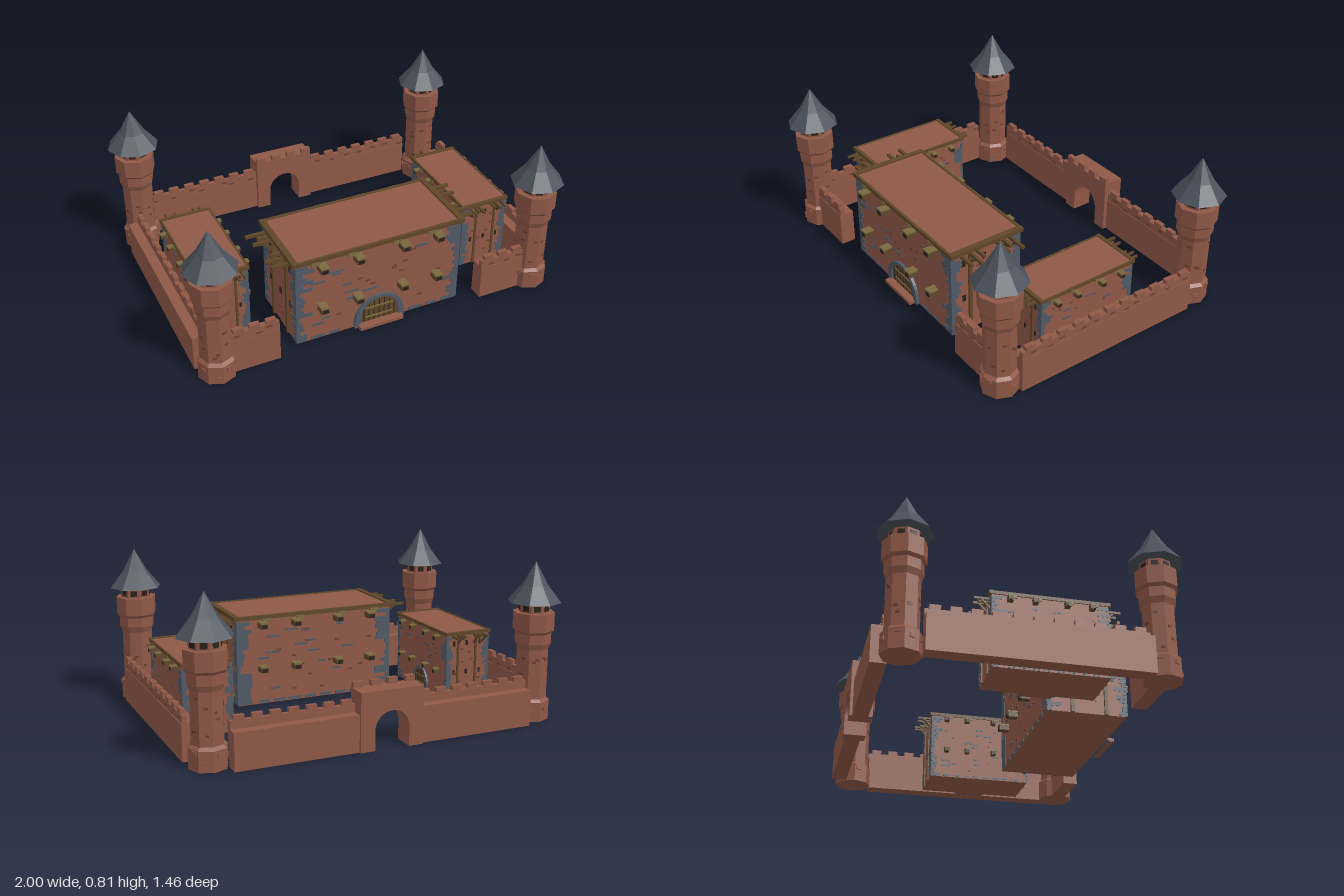
import * as THREE from 'three';

const mat = (name, color) => Object.assign(new THREE.MeshStandardMaterial({ color }), { name });
const M = {
  brick: mat('red brick', 0x8f5847),
  darkBrick: mat('dark brick', 0x70402f),
  slate: mat('roof slate', 0x4b525c),
  stone: mat('grey stone', 0x4f5965),
  wood: mat('brown wood', 0x5f4629),
  paleWood: mat('pale wood', 0x7a693f),
  dark: mat('dark opening', 0x2a2019),
};

let seed = 7;
const rnd = (a = 0, b = 1) => {
  seed = (seed * 16807) % 2147483647;
  return a + (b - a) * (seed / 2147483647);
};

function add(parent, name, geo, material, x = 0, y = 0, z = 0) {
  const m = new THREE.Mesh(geo, material);
  m.name = name;
  m.position.set(x, y, z);
  parent.add(m);
  return m;
}
const box = (parent, name, material, w, h, d, x, y, z) =>
  add(parent, name, new THREE.BoxGeometry(w, h, d), material, x, y, z);

function group(parent, name) {
  const g = new THREE.Group();
  g.name = name;
  parent.add(g);
  return g;
}

// Faceted eight-sided turned body
function octagon(points) {
  const lathe = new THREE.LatheGeometry(points.map(p => new THREE.Vector2(...p)), 8);
  const geo = lathe.toNonIndexed();
  geo.computeVertexNormals();
  return geo;
}

// Round-topped outline standing on y = 0
function archPath(path, r, spring) {
  path.moveTo(-r, 0);
  path.lineTo(r, 0);
  path.lineTo(r, spring);
  path.absarc(0, spring, r, 0, Math.PI, false);
  path.lineTo(-r, 0);
  return path;
}
const extrude = (shape, depth) =>
  new THREE.ExtrudeGeometry(shape, { depth, bevelEnabled: false, curveSegments: 8 });

function makeTower(parent, x, z) {
  const t = group(parent, 'tower');
  t.position.set(x, 0, z);
  add(t, 'towerBody', octagon([[0, 0], [0.095, 0], [0.095, 0.1], [0.08, 0.115], [0.08, 0.37],
    [0.092, 0.4], [0.092, 0.45], [0.105, 0.465], [0.105, 0.557], [0.078, 0.557], [0.078, 0.61]]), M.brick);
  add(t, 'towerRoof', octagon([[0, 0.6], [0.135, 0.608], [0.067, 0.692], [0, 0.81]]), M.slate);
  // Neck windows, bands and loose bricks on each of the eight faces
  for (let i = 0; i < 8; i++) {
    const face = group(t, 'towerFace');
    face.rotation.y = (i + 0.5) * Math.PI / 4;
    const k = Math.cos(Math.PI / 8);
    box(face, 'towerWindow', M.dark, 0.034, 0.028, 0.006, 0, 0.58, 0.078 * k);
    for (let j = 0; j < 2; j++) {
      box(face, 'looseBrick', M.darkBrick, rnd(0.015, 0.025), 0.012, 0.006, rnd(-0.015, 0.015), rnd(0.14, 0.34), 0.08 * k);
    }
    box(face, 'baseBrick', M.brick, rnd(0.02, 0.035), 0.02, 0.012, rnd(-0.015, 0.015), rnd(0.03, 0.09), 0.095 * k);
  }
}

// Wall running along x, parapet on its +z side
function makeWall(parent, length, x, z, turn = 0) {
  const w = group(parent, 'curtainWall');
  w.position.set(x, 0, z);
  w.rotation.y = turn;
  box(w, 'wallBody', M.brick, length, 0.184, 0.078, 0, 0.092, 0);
  box(w, 'parapet', M.brick, length, 0.04, 0.024, 0, 0.204, 0.024);
  const n = Math.max(2, Math.round(length / 0.094));
  for (let i = 0; i < n; i++) {
    const mx = ((i + 0.5) / n - 0.5) * length;
    box(w, 'merlon', M.brick, 0.052, 0.024, 0.024, mx, 0.235, 0.024);
    box(w, 'looseBrick', M.darkBrick, 0.03, 0.01, 0.004, mx + rnd(-0.03, 0.03), rnd(0.19, 0.215), 0.036);
  }
}

function makeGate(parent) {
  const g = group(parent, 'backGate');
  g.position.set(0, 0, -0.732);
  const s = new THREE.Shape();
  [[-0.165, 0], [-0.09, 0], [-0.09, 0.1]].forEach(([x, y], i) => i ? s.lineTo(x, y) : s.moveTo(x, y));
  s.absarc(0, 0.1, 0.09, Math.PI, 0, true);
  [[0.09, 0], [0.165, 0], [0.165, 0.293], [-0.165, 0.293]].forEach(p => s.lineTo(...p));
  add(g, 'gateArch', extrude(s, 0.112), M.brick);
  for (let i = 0; i < 4; i++) box(g, 'gateMerlon', M.brick, 0.05, 0.03, 0.026, -0.138 + i * 0.092, 0.307, 0.099);
}

// Hall 0.9 x 0.48 x 0.4, its door facing +z
function makeHall(parent, name) {
  const h = group(parent, name);
  const W = 0.445, D = 0.2, H = 0.465;
  box(h, 'hallWalls', M.brick, 2 * W, H, 2 * D, 0, H / 2, 0);
  box(h, 'flatRoof', M.brick, 0.91, 0.016, 0.4, 0, H + 0.007, 0);
  for (const s of [-1, 1]) {
    box(h, 'longRoofTrim', M.wood, 0.92, 0.022, 0.014, 0, 0.474, s * 0.202);
    box(h, 'endRoofTrim', M.wood, 0.03, 0.022, 0.42, s * 0.449, 0.476, 0);
  }

  // Corner stones, ragged in length
  for (const sx of [-1, 1]) for (const sz of [-1, 1]) {
    for (let i = 0; i < 21; i++) {
      const y = 0.014 + i * 0.0215;
      const reach = i > 12 ? 0.11 : i > 7 ? 0.05 : 0.095;
      const a = rnd(0.015, reach), b = rnd(0.02, 0.075);
      box(h, 'cornerStone', M.stone, a, 0.0205, 0.006, sx * (W + 0.003 - a / 2), y, sz * D);
      box(h, 'cornerStone', M.stone, 0.006, 0.0205, b, sx * W, y, sz * (D + 0.003 - b / 2));
    }
  }

  // Scattered bricks and a stone footing on both long sides
  for (const s of [-1, 1]) {
    for (let i = 0; i < 26; i++) {
      const grey = i % 2 === 0;
      const x = rnd(-0.34, 0.34), y = rnd(0.05, 0.4);
      if (s > 0 && Math.abs(x) < 0.18 && y < 0.19) continue;
      box(h, grey ? 'greyBrick' : 'darkBrick', grey ? M.stone : M.darkBrick,
        grey ? rnd(0.04, 0.08) : 0.025, 0.011, 0.006, x, y, s * D);
    }
    for (let x = -0.33; x < 0.36; x += 0.09) {
      if (s < 0 || Math.abs(x) > 0.16) box(h, 'footingStone', M.stone, rnd(0.04, 0.08), 0.014, 0.006, x, 0.012, s * D);
    }
    // Two rows of projecting joists
    for (const x of [-0.315, -0.125, 0.12, 0.31]) {
      for (const y of [0.432, 0.195]) {
        box(h, 'joist', M.wood, 0.04, 0.026, 0.052, x, y, s * (D + 0.026));
        box(h, 'joistCap', M.paleWood, 0.044, 0.008, 0.054, x, y + 0.017, s * (D + 0.027));
        box(h, 'joistEnd', M.dark, 0.03, 0.02, 0.004, x, y - 0.001, s * (D + 0.053));
      }
      box(h, 'eavesBlock', M.paleWood, 0.045, 0.018, 0.012, x - 0.03, 0.458, s * (D + 0.006));
    }
  }

  // Long beams, braces and posts on the short ends
  const beams = [[-0.135, 0.12], [-0.095, 0.075], [-0.06, 0.11], [0.055, 0.07], [0.095, 0.11], [0.145, 0.1]];
  for (const s of [-1, 1]) {
    beams.forEach(([z, l], i) => {
      box(h, 'endBeam', M.wood, l, 0.015, 0.016, s * (W + l / 2), 0.457, z);
      if (i % 2 === 0) {
        const brace = box(h, 'beamBrace', M.wood, 0.08, 0.012, 0.012, s * (W + 0.03), 0.425, z);
        brace.rotation.z = s * 0.7;
      }
    });
    for (const z of [-0.075, 0.095]) {
      box(h, 'endPost', M.wood, 0.012, 0.45, 0.018, s * (W + 0.005), 0.225, z);
    }
    for (const y of [0.405, 0.2]) for (const z of [-0.115, 0.01, 0.13]) {
      box(h, 'endWindow', M.dark, 0.006, 0.035, 0.02, s * W, y, z);
    }
    for (let i = 0; i < 8; i++) {
      box(h, 'endBrick', M.darkBrick, 0.006, 0.011, 0.03, s * W, rnd(0.05, 0.4), rnd(-0.12, 0.12));
    }
  }

  // Arched door with stone surround, planks and step
  const door = group(h, 'door');
  door.position.z = D;
  const ring = archPath(new THREE.Shape(), 0.138, 0.03);
  ring.holes.push(archPath(new THREE.Path(), 0.104, 0.05));
  add(door, 'doorSurround', extrude(ring, 0.016), M.stone);
  add(door, 'doorLeaf', extrude(archPath(new THREE.Shape(), 0.106, 0.045), 0.006), M.wood);
  for (let i = -3; i <= 3; i++) {
    const top = 0.045 + Math.sqrt(0.106 ** 2 - (i * 0.028) ** 2) - 0.012;
    box(door, 'plankGap', M.dark, 0.004, top, 0.004, i * 0.028, top / 2, 0.006);
  }
  for (const y of [0.045, 0.1]) box(door, 'doorBand', M.paleWood, 0.15, 0.008, 0.004, 0, y, 0.008);
  box(door, 'doorStep', M.brick, 0.24, 0.018, 0.046, 0, 0.009, 0.023);
  return h;
}

export function createModel() {
  const root = new THREE.Group();
  root.name = 'castle';
  for (const x of [-0.865, 0.865]) for (const z of [-0.595, 0.595]) makeTower(root, x, z);

  // Surrounding walls
  for (const s of [-1, 1]) {
    makeWall(root, 1.04, s * 0.92, 0.015, Math.PI / 2);
    makeWall(root, 0.25, s * 0.68, 0.595);
    makeWall(root, 0.62, s * 0.473, -0.68);
  }
  makeGate(root);

  // Great hall and two smaller halls
  makeHall(root, 'greatHall').position.set(0, 0, 0.375);
  for (const s of [-1, 1]) {
    const side = makeHall(root, 'sideHall');
    side.scale.set(0.615, 0.775, 0.64);
    side.rotation.y = Math.PI / 2;
    side.position.set(s * 0.73, 0, 0.08);
  }
  return root;
}
